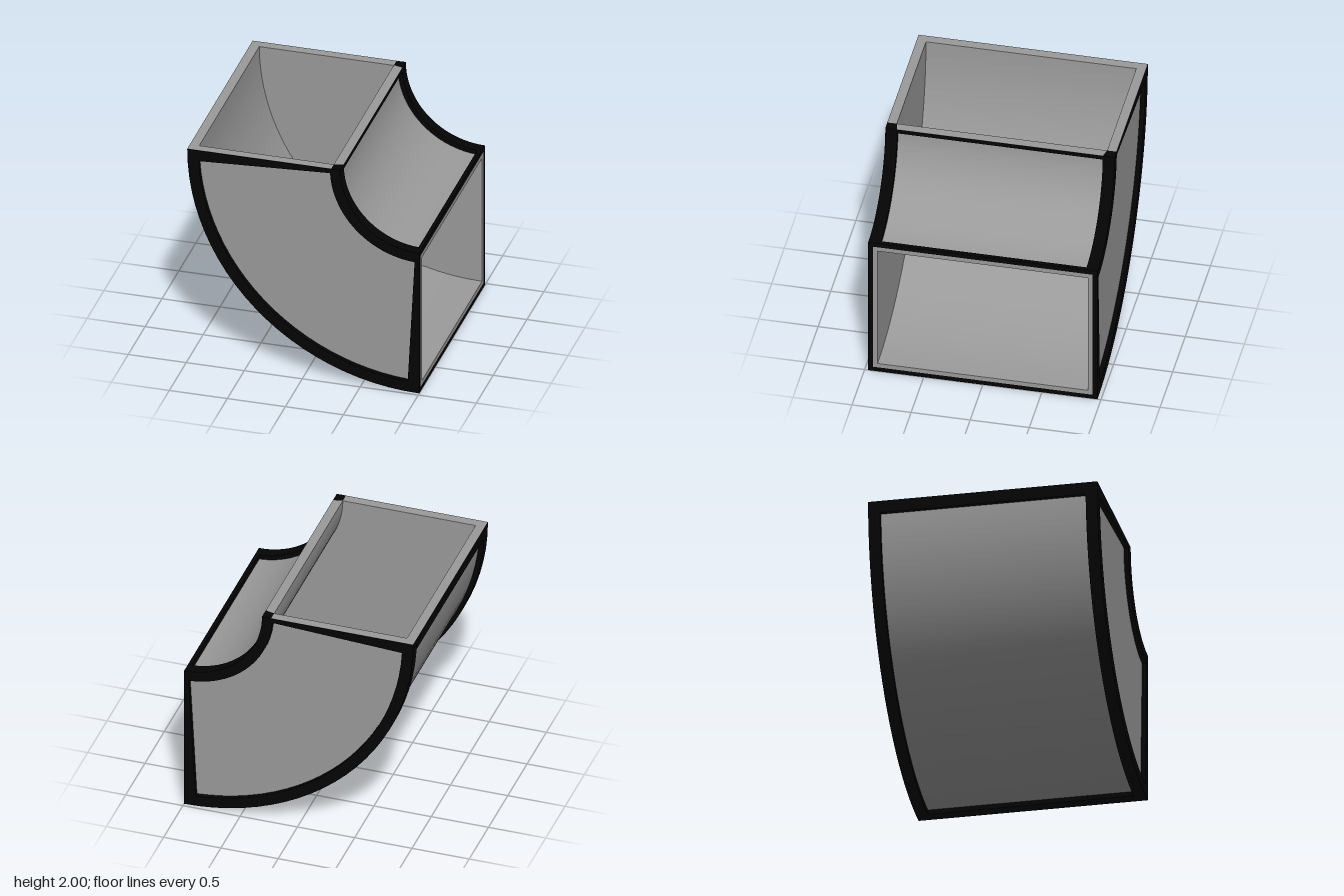
import * as THREE from 'three';
import { toCreasedNormals } from 'three/addons/utils/BufferGeometryUtils.js';

const grey = new THREE.MeshStandardMaterial({ color: 0x9a9a9a });
const black = new THREE.MeshStandardMaterial({ color: 0x040404 });

// Bend axis, radii and half width of the elbow
const CX = 1, CY = 2, R_IN = 0.68, R_OUT = 2, HALF = 0.97;
const STEP = 0.04; // thickness of the frame, and of the liner beneath it
const INSET = 3;   // degrees left for the frame at each open end

// Outline of a ring sector; angles in degrees from the top opening
function trace(path, r0, r1, a0, a1) {
  const s = Math.PI + THREE.MathUtils.degToRad(a0);
  const e = Math.PI + THREE.MathUtils.degToRad(a1);
  path.absarc(CX, CY, r1, s, e, false);
  path.absarc(CX, CY, r0, e, s, true);
  path.closePath();
  return path;
}

const sector = (r0, r1, a0 = 0, a1 = 90) => trace(new THREE.Shape(), r0, r1, a0, a1);

export function createModel() {
  const model = new THREE.Group();

  function slab(name, shape, z0, z1, material) {
    const geo = new THREE.ExtrudeGeometry(shape, {
      depth: z1 - z0, bevelEnabled: false, curveSegments: 12,
    });
    geo.translate(0, 0, z0);
    const mesh = new THREE.Mesh(toCreasedNormals(geo, 0.4), material);
    mesh.name = name;
    model.add(mesh);
  }

  // Flat face just above the top opening, from [x, z] corners
  function topFace(name, corners, material) {
    const shape = new THREE.Shape(corners.map(([x, z]) => new THREE.Vector2(x, -z)));
    const mesh = new THREE.Mesh(new THREE.ShapeGeometry(shape), material);
    mesh.name = name;
    mesh.rotation.x = -Math.PI / 2;
    mesh.position.y = CY + 0.002;
    model.add(mesh);
  }

  // Liner: curved inner and outer walls
  const zLiner = HALF - 2 * STEP, zFrame = HALF - STEP, zStrip = 0.87;
  slab('outerWall', sector(R_OUT - 2 * STEP, R_OUT - STEP), -zLiner, zLiner, grey);
  slab('innerWall', sector(R_IN + STEP, R_IN + 2 * STEP), -zLiner, zLiner, grey);

  // Side frame with a window onto the recessed panel
  const frame = sector(R_IN, R_OUT);
  frame.holes.push(trace(new THREE.Path(), R_IN + 0.09, R_OUT - 0.095, INSET, 90 - INSET));

  const bands = [['outer', R_OUT - STEP, R_OUT], ['inner', R_IN, R_IN + STEP]];
  const xl = CX - R_OUT, xo = CX - R_IN, xi = xo - 2 * STEP;
  for (const side of [1, -1]) {
    const mirrored = (name, shape, a, b, material) =>
      slab(name, shape, Math.min(side * a, side * b), Math.max(side * a, side * b), material);
    mirrored('sidePanel', sector(R_IN + STEP, R_OUT - STEP), zLiner, zFrame, grey);
    mirrored('sideFrame', frame, zFrame, HALF, black);
    // Raised strips along the edges of the curved walls
    for (const [name, r0, r1] of bands)
      mirrored(name + 'EdgeStrip', sector(r0, r1), zStrip, zFrame, black);
    // Top rim along the side, and its black inner corner
    topFace('topSideRim', [[xl, side * HALF], [xi, side * HALF],
      [xi, side * zLiner], [xl, side * zLiner]], grey);
    topFace('topCorner', [[xi, side * HALF], [xo, side * HALF],
      [xo, side * zStrip], [xi, side * zLiner]], black);
  }

  // Raised bars across the curved walls at both open ends
  for (const [name, r0, r1] of bands)
    for (const a of [0, 90 - INSET])
      slab(name + 'EndBar', sector(r0, r1, a, a + INSET), -zStrip, zStrip, black);

  // Top rim along the outer and inner walls
  topFace('topOuterRim', [[xl, zLiner], [xl + 2 * STEP, zLiner],
    [xl + 2 * STEP, -zLiner], [xl, -zLiner]], grey);
  topFace('topInnerRim', [[xi, zLiner], [xo, zStrip], [xo, -zStrip], [xi, -zLiner]], grey);

  return model;
}
